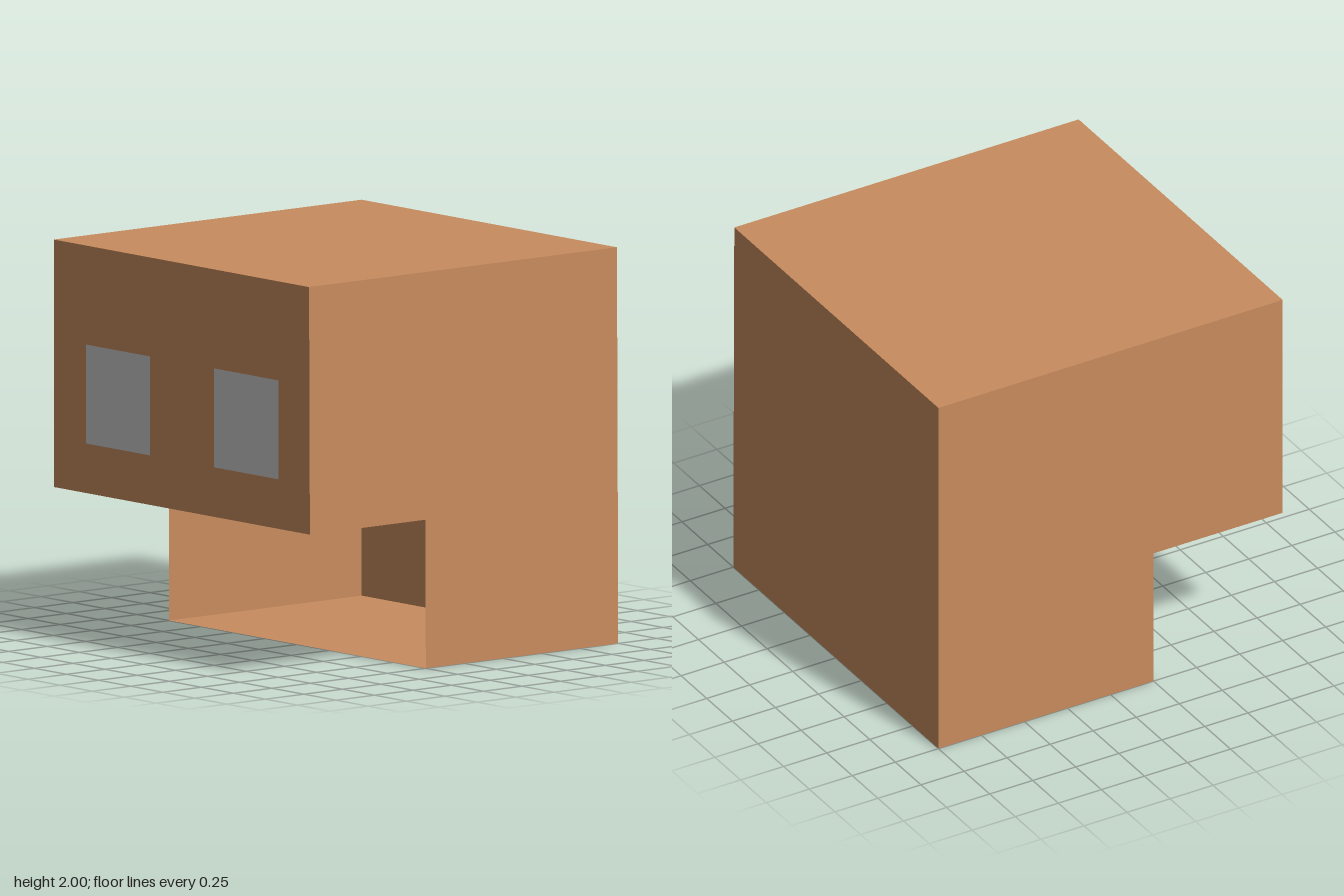
import * as THREE from 'three';

// x of the left wall, leaning in very slightly towards the top
const leftX = (y) => 1 - 0.005 * y;

const polygon = (points) => new THREE.Shape(points.map(([x, y]) => new THREE.Vector2(x, y)));

const square = (x, y, size) => [[x, y], [x + size, y], [x + size, y + size], [x, y + size]];

export function createModel() {
  const clay = new THREE.MeshStandardMaterial({ color: 0xc88c5e, side: THREE.DoubleSide });
  clay.name = 'clay';
  const grey = new THREE.MeshStandardMaterial({ color: 0xc9c9c9, side: THREE.DoubleSide });
  grey.name = 'pale grey';

  const group = new THREE.Group();
  const add = (name, geometry, material = clay) => {
    const mesh = new THREE.Mesh(geometry, material);
    mesh.name = name;
    group.add(mesh);
  };

  // Side walls: notched profile with u = -z
  const profile = polygon([[-1, 0.75], [-0.25, 0.75], [-0.25, 0], [1, 0], [1, 2], [-1, 2]]);
  const left = new THREE.ShapeGeometry(profile).rotateY(Math.PI / 2);
  const p = left.attributes.position;
  for (let i = 0; i < p.count; i++) p.setX(i, leftX(p.getY(i)));
  left.computeVertexNormals();
  add('leftWall', left);
  add('rightWall', new THREE.ShapeGeometry(profile).rotateY(-Math.PI / 2).scale(1, 1, -1).translate(-1, 0, 0));

  // Front wall with two eye openings, filled flush
  const front = polygon([[-1, 0.75], [leftX(0.75), 0.75], [leftX(2), 2], [-1, 2]]);
  for (const [name, x] of [['rightEye', -0.75], ['leftEye', 0.25]]) {
    const eye = polygon(square(x, 1, 0.5));
    front.holes.push(eye);
    add(name, new THREE.ShapeGeometry(eye).translate(0, 0, 1), grey);
  }
  add('frontWall', new THREE.ShapeGeometry(front).translate(0, 0, 1));

  // Back wall
  const back = polygon([[-1, 0], [leftX(0), 0], [leftX(2), 2], [-1, 2]]);
  add('backWall', new THREE.ShapeGeometry(back).translate(0, 0, -1));

  // Roof and floor; the notch below the face stays open
  const roofWidth = leftX(2) + 1;
  add('roof', new THREE.PlaneGeometry(roofWidth, 2).rotateX(-Math.PI / 2).translate(roofWidth / 2 - 1, 2, 0));
  add('floor', new THREE.PlaneGeometry(2, 1.25).rotateX(Math.PI / 2).translate(0, 0, -0.375));

  return group;
}
